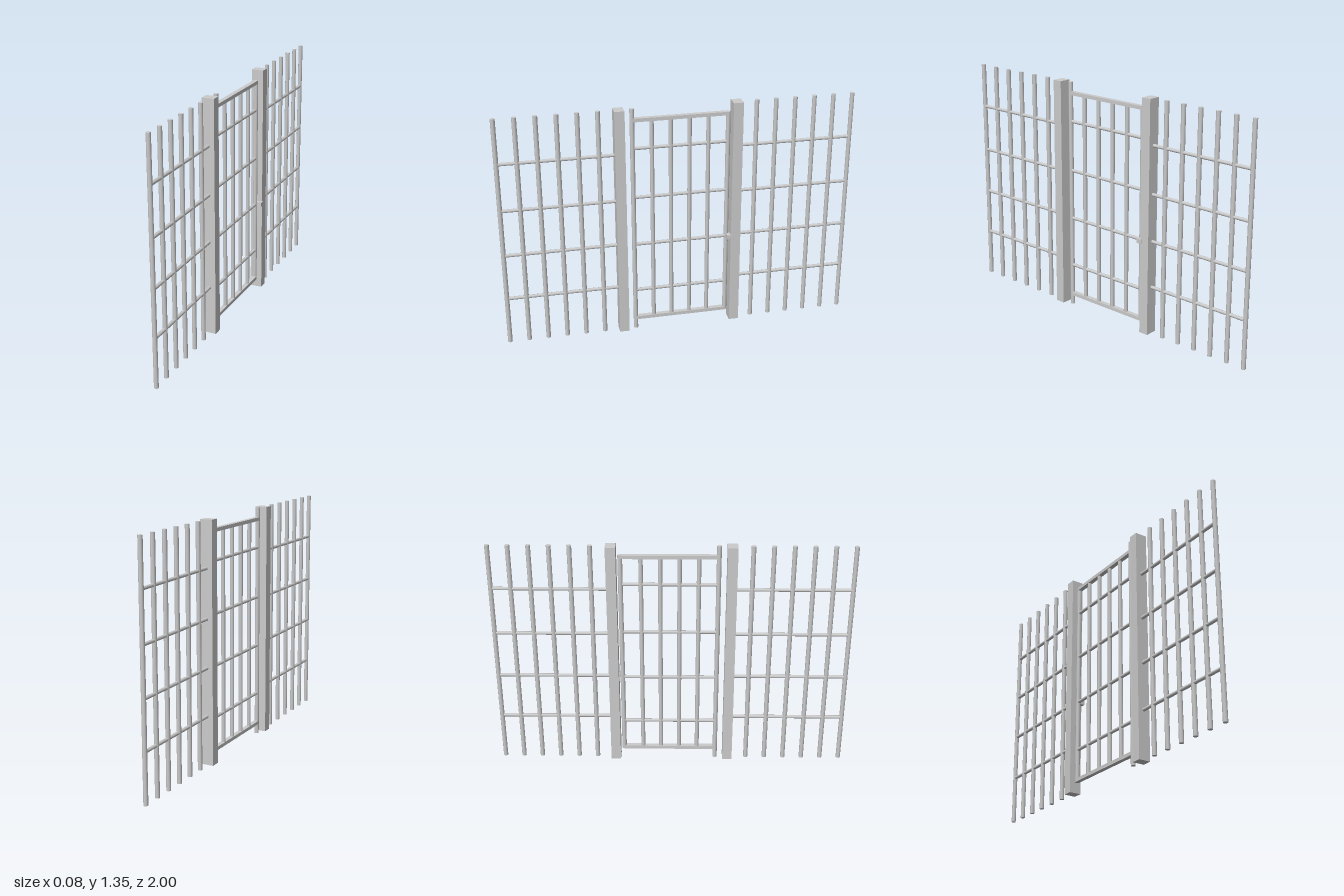
import * as THREE from 'three';

const X = -0.005; // plane of the fence
const HEIGHT = 1.35;

export function createModel() {
  const model = new THREE.Group();
  const material = new THREE.MeshStandardMaterial({ color: 0xcccccc });

  const add = (parent, name, geometry, x, y, z) => {
    const mesh = new THREE.Mesh(geometry, material);
    mesh.name = name;
    mesh.position.set(x, y, z);
    parent.add(mesh);
  };
  // Upright round bar from y0 to y1
  const bar = (parent, name, z, y0, y1, r = 0.013) =>
    add(parent, name, new THREE.CylinderGeometry(r, r, y1 - y0, 8), X, (y0 + y1) / 2, z);
  // Round rail along z
  const rail = (parent, name, y, z0, z1, r = 0.01) => {
    const g = new THREE.CylinderGeometry(r, r, z1 - z0, 8).rotateX(Math.PI / 2);
    add(parent, name, g, X, y, (z0 + z1) / 2);
  };

  // Two fixed panels with their posts, mirrored about the gate
  for (const side of [1, -1]) {
    const panel = new THREE.Group();
    panel.name = side > 0 ? 'frontPanel' : 'backPanel';
    model.add(panel);
    add(panel, 'post', new THREE.BoxGeometry(0.07, HEIGHT, 0.056), X, HEIGHT / 2, side * 0.327);
    for (let i = 0; i < 6; i++) bar(panel, 'panelBar', side * (0.438 + i * 0.1098), 0, HEIGHT);
    for (const y of [0.28, 0.55, 0.82, 1.093]) {
      const ends = [side * 0.345, side * 0.987].sort((a, b) => a - b);
      rail(panel, 'panelRail', y, ...ends);
    }
  }

  // Gate: hinge bar, closing bar, inner bars and rails
  const gate = new THREE.Group();
  gate.name = 'gate';
  model.add(gate);
  bar(gate, 'hingeBar', 0.255, 0, HEIGHT);
  bar(gate, 'closingBar', -0.278, 0.058, 1.295);
  for (let i = 0; i < 4; i++) bar(gate, 'gateBar', 0.148 - i * 0.105, 0.067, 1.285, 0.012);
  for (const y of [0.25, 0.543, 0.832, 1.122]) rail(gate, 'gateRail', y, -0.278, 0.255);
  for (const y of [0.067, 1.286]) {
    add(gate, 'gateFrameRail', new THREE.BoxGeometry(0.026, 0.02, 0.533), X, y, -0.0115);
  }

  // Latch reaching from the closing bar to the post
  add(gate, 'latch', new THREE.BoxGeometry(0.035, 0.025, 0.032), 0.0175, 0.547, -0.291);

  return model;
}
